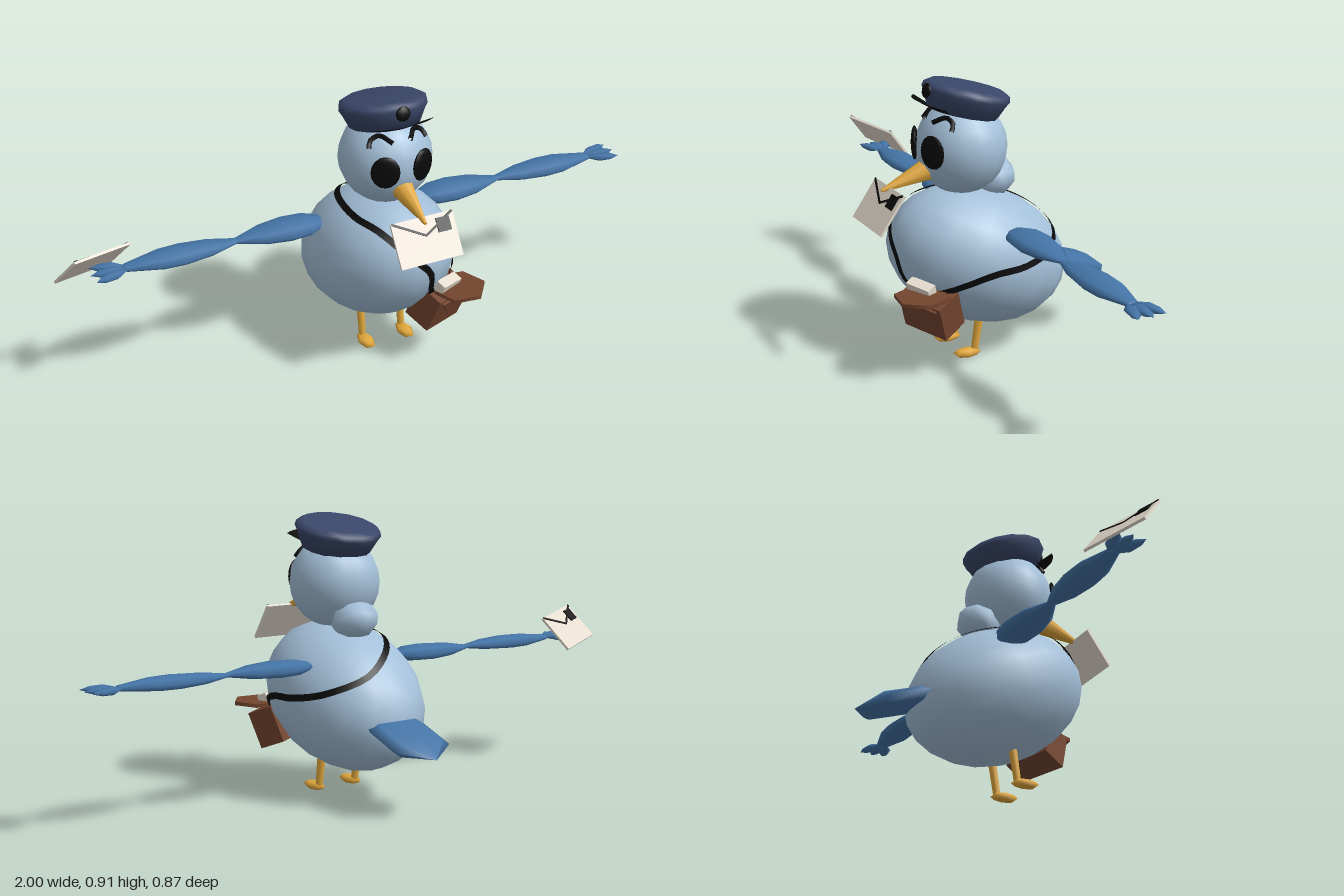
import * as THREE from 'three';

const mat = (name, color, side = THREE.FrontSide) => {
  const m = new THREE.MeshStandardMaterial({ color, side });
  m.name = name;
  return m;
};
const V = (x, y, z) => new THREE.Vector3(x, y, z);
const CX = 0.05; // the bird's own centre line

export function createModel() {
  const paleBlue = mat('paleBlue', 0xa3bfd8);
  const wingBlue = mat('wingBlue', 0x4474a6);
  const navy = mat('navy', 0x3a4769);
  const gold = mat('gold', 0xe2a83c);
  const brown = mat('brown', 0x74452f);
  const paper = mat('paper', 0xe6ddd0);
  const black = mat('black', 0x0a0a0a, THREE.DoubleSide);

  const model = new THREE.Group();
  const add = (name, geo, material, pos = [0, 0, 0], parent = model) => {
    const mesh = new THREE.Mesh(geo, material);
    mesh.name = name;
    mesh.position.set(...pos);
    parent.add(mesh);
    return mesh;
  };
  const group = (name, pos = [0, 0, 0]) => {
    const g = new THREE.Group();
    g.name = name;
    g.position.set(...pos);
    model.add(g);
    return g;
  };
  const lathe = (pts, segs) => new THREE.LatheGeometry(pts.map(p => new THREE.Vector2(...p)), segs);
  // tapered round bar between two points
  const bar = (name, a, b, rA, rB, material, segs, parent = model) => {
    const dir = b.clone().sub(a);
    const m = add(name, new THREE.CylinderGeometry(rB, rA, dir.length(), segs), material,
      a.clone().add(b).multiplyScalar(0.5).toArray(), parent);
    m.quaternion.setFromUnitVectors(V(0, 1, 0), dir.normalize());
    return m;
  };

  // body, head and nape
  const body = add('body', new THREE.SphereGeometry(1, 16, 12), paleBlue, [CX, 0.325, 0.05]);
  body.scale.set(0.237, 0.22, 0.314);
  body.rotation.x = -0.4;
  const head = group('head', [CX, 0.69, 0.105]);
  add('skull', new THREE.SphereGeometry(0.15, 16, 12), paleBlue, [0, 0, 0], head).scale.z = 0.98;
  const nape = add('nape', new THREE.SphereGeometry(1, 8, 6), paleBlue, [CX, 0.575, -0.008]);
  nape.scale.set(0.08, 0.062, 0.075);
  nape.rotation.x = 0.4;

  // eyes and brows
  for (const s of [-1, 1]) {
    const eye = add('eye', new THREE.SphereGeometry(1, 16, 8), black, [s * 0.064, 0.012, 0.13], head);
    eye.scale.set(0.046, 0.054, 0.012);
    eye.rotation.y = s * 0.44;
    const pts = [[0.03, 0.097], [0.06, 0.115], [0.088, 0.1], [0.098, 0.08]].map(([x, y]) =>
      V(s * x, y, Math.sqrt(0.0228 - x * x - y * y)));
    add('brow', new THREE.TubeGeometry(new THREE.CatmullRomCurve3(pts), 8, 0.008, 5), black, [0, 0, 0], head);
  }
  bar('beak', V(CX, 0.634, 0.21), V(CX, 0.583, 0.38), 0.04, 0.005, gold, 8);

  // cap with peak and badge
  const cap = group('cap', [CX, 0.798, 0.1]);
  cap.rotation.x = -0.23;
  add('capCrown', lathe([[0, 0], [0.112, 0], [0.13, 0.04], [0.141, 0.06], [0.138, 0.075], [0.118, 0.087], [0, 0.09]], 14),
    navy, [0, 0, 0], cap);
  add('capPeak', new THREE.CylinderGeometry(0.165, 0.11, 0.018, 10, 1, true, -0.75, 1.5), black, [0, 0.01, 0], cap);
  add('capBadge', new THREE.SphereGeometry(1, 10, 6), black, [0, 0.054, 0.138], cap).scale.set(0.025, 0.024, 0.01);

  // wings: two flattened spindles and three finger feathers each
  const upper = [[0, 0.15], [0.035, 0.18], [0.062, 0.23], [0.068, 0.3], [0.055, 0.38], [0.015, 0.475]];
  const lower = [[0.015, 0.47], [0.045, 0.56], [0.057, 0.65], [0.054, 0.72], [0.022, 0.835], [0, 0.845]];
  for (const s of [-1, 1]) {
    const wing = group(s > 0 ? 'leftWing' : 'rightWing', [CX, 0.443, 0.005]);
    wing.rotation.z = -s * Math.PI / 2;
    for (const [name, profile] of [['upperWing', upper], ['lowerWing', lower]])
      add(name, lathe(profile, 8).scale(0.4, 1, 1), wingBlue, [0, 0, 0], wing);
    for (const k of [-1, 0, 1]) {
      const f = add('fingerFeather', lathe([[0, 0], [0.022, 0.05], [0.017, 0.09], [0, 0.12]], 6).scale(0.55, 1, 1),
        wingBlue, [0, 0.825, k * 0.01], wing);
      f.rotation.x = k * 0.3;
    }
  }

  // tail
  const tail = add('tail', lathe([[0, -0.02], [0.09, 0], [0.107, 0.05], [0.107, 0.18], [0, 0.255]], 8).scale(1, 1, 0.26),
    wingBlue, [CX, 0.275, -0.19]);
  tail.rotation.x = -(Math.PI / 2 + 0.32);

  // legs and feet
  for (const s of [-1, 1]) {
    const x = CX + s * 0.072;
    bar('leg', V(x, 0.14, 0.077), V(x, 0.015, 0.096), 0.014, 0.012, gold, 8);
    add('foot', new THREE.SphereGeometry(1, 6, 4), gold, [x, 0.015, 0.122]).scale.set(0.027, 0.015, 0.05);
  }

  // shoulder strap: a ribbon laid on the body surface
  const path = new THREE.CatmullRomCurve3([
    [0.2, 0.28, 0.24], [0.27, 0.335, 0.11], [0.29, 0.345, 0], [0.25, 0.37, -0.12], [0.135, 0.425, -0.2],
    [0.03, 0.485, -0.16], [-0.06, 0.53, -0.05], [-0.09, 0.54, 0.06], [-0.09, 0.54, 0.18], [-0.05, 0.52, 0.26],
    [0.02, 0.45, 0.34], [0.09, 0.38, 0.36], [0.105, 0.3, 0.34], [0.15, 0.25, 0.3],
  ].map(p => V(...p)), true);
  body.updateMatrixWorld(true);
  const N = 48, verts = [], index = [];
  for (let i = 0; i <= N; i++) {
    const u = (i % N) / N;
    const local = body.worldToLocal(path.getPoint(u)).normalize();
    const n = local.clone().divide(body.scale).applyQuaternion(body.quaternion).normalize();
    const p = body.localToWorld(local).addScaledVector(n, 0.005);
    const b = path.getTangent(u).cross(n).normalize();
    for (const w of [-0.011, 0.011]) verts.push(...p.clone().addScaledVector(b, w).toArray());
    if (i < N) index.push(2 * i, 2 * i + 1, 2 * i + 2, 2 * i + 1, 2 * i + 3, 2 * i + 2);
  }
  const ribbon = new THREE.BufferGeometry();
  ribbon.setAttribute('position', new THREE.Float32BufferAttribute(verts, 3));
  ribbon.setIndex(index);
  ribbon.computeVertexNormals();
  add('strap', ribbon, black);

  // satchel with open flap and letters inside
  const bag = group('satchel', [0.165, 0.212, 0.268]);
  bag.rotation.set(0.36, 0.4, -0.1, 'YXZ');
  add('bagBody', new THREE.BoxGeometry(0.165, 0.125, 0.095), brown, [0, 0, 0], bag);
  const vee = new THREE.Shape([[-0.07, 0.055], [0, -0.02], [0.07, 0.055]].map(p => new THREE.Vector2(...p)));
  add('bagFront', new THREE.ExtrudeGeometry(vee, { depth: 0.009, bevelEnabled: false }), brown, [0, 0, 0.047], bag);
  add('bagLetters', new THREE.BoxGeometry(0.09, 0.07, 0.035), paper, [-0.015, 0.07, 0.01], bag);
  const flap = add('bagFlap', new THREE.CylinderGeometry(0.088, 0.088, 0.012, 6), brown, [0.21, 0.276, 0.322]);
  flap.rotation.y = 0.4;

  // envelopes: sheet, flap lines and stamp on one side
  const envelope = (name, pos, right, up) => {
    const g = group(name, pos);
    const n = right.clone().normalize().cross(up).normalize();
    g.quaternion.setFromRotationMatrix(new THREE.Matrix4().makeBasis(right.normalize(), n.clone().cross(right), n));
    add('sheet', new THREE.BoxGeometry(0.212, 0.142, 0.008), paper, [0, 0, 0], g);
    for (const s of [-1, 1]) {
      const line = add('flapLine', new THREE.BoxGeometry(0.118, 0.007, 0.003), black, [s * 0.051, 0.041, 0.005], g);
      line.rotation.z = s * 0.5;
    }
    add('stamp', new THREE.BoxGeometry(0.045, 0.045, 0.004), black, [0.065, 0.035, 0.006], g);
  };
  envelope('beakLetter', [CX, 0.532, 0.39], V(1, 0, 0), V(0, 0.82, -0.57));
  envelope('wingLetter', [-0.878, 0.4725, -0.02], V(-0.92, 0.116, 0.37), V(0.3, 0.73, 0.61));

  return model;
}
